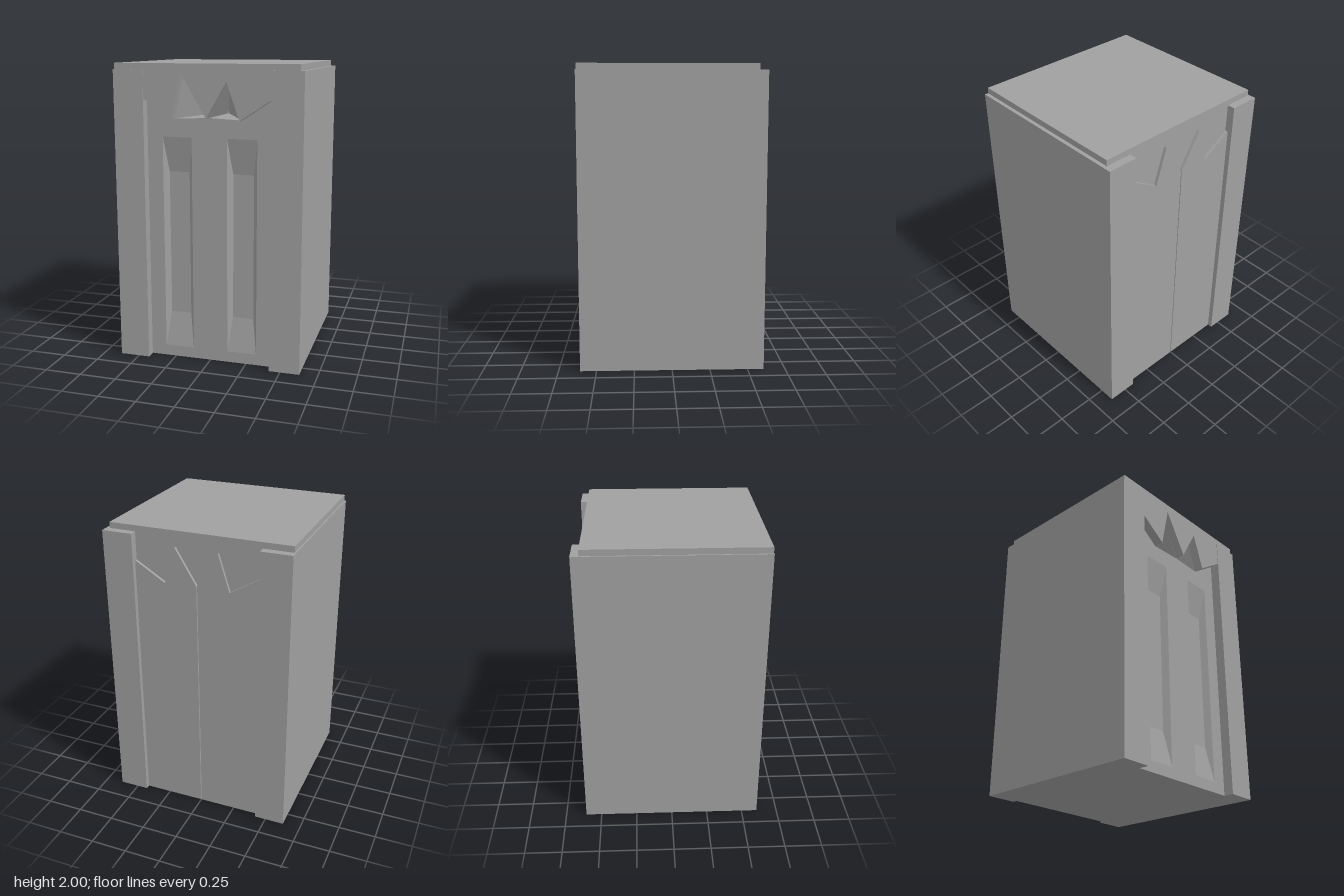
import * as THREE from 'three';

const W = 0.63, D = 0.425, H = 1.96;           // half width, half doorway, body height
const BACK = -0.555, MID = 0.25, DOOR = 0.54;  // z planes

const toShape = (pts) => new THREE.Shape(pts.map(([x, y]) => new THREE.Vector2(x, y)));

// Plate between two z planes, cut from an outline with optional holes
function plate(pts, z0, z1, holes = []) {
  const shape = toShape(pts);
  holes.forEach((h) => shape.holes.push(toShape(h)));
  const g = new THREE.ExtrudeGeometry(shape, { depth: z1 - z0, bevelEnabled: false });
  return g.translate(0, 0, z0);
}

function block(x0, x1, y0, y1, z0, z1) {
  return new THREE.BoxGeometry(x1 - x0, y1 - y0, z1 - z0)
    .translate((x0 + x1) / 2, (y0 + y1) / 2, (z0 + z1) / 2);
}

// Tapered pocket: counter-clockwise outer rim at z0, smaller floor at z1
function recess(outer, inner, z0, z1) {
  const pos = [], n = outer.length;
  const o = outer.map(([x, y]) => [x, y, z0]), f = inner.map(([x, y]) => [x, y, z1]);
  for (let i = 0; i < n; i++) {
    const j = (i + 1) % n;
    pos.push(...o[i], ...o[j], ...f[j], ...o[i], ...f[j], ...f[i]);
    if (i > 0 && i < n - 1) pos.push(...f[0], ...f[i], ...f[i + 1]);
  }
  const g = new THREE.BufferGeometry();
  g.setAttribute('position', new THREE.Float32BufferAttribute(pos, 3));
  g.computeVertexNormals();
  return g;
}

const rect = (x0, x1, y0, y1) => [[x0, y0], [x1, y0], [x1, y1], [x0, y1]];

export function createModel() {
  const group = new THREE.Group();
  const stone = new THREE.MeshStandardMaterial({ color: 0xa0a0a0 });
  stone.name = 'stone grey';
  const add = (name, geometry) => {
    const mesh = new THREE.Mesh(geometry, stone);
    mesh.name = name;
    group.add(mesh);
  };

  // Main block and stepped cap
  add('body', block(-W, W, 0, H, BACK, MID));
  add('cap', block(-0.62, 0.605, H - 0.02, 2, BACK, 0.605));

  // Front door layer, pierced by two spikes and two tall panels
  const spikes = [
    { rim: [[-0.235, 1.645], [0, 1.655], [-0.165, 1.94]], focus: [-0.04, 1.66] },
    { rim: [[0, 1.655], [0.22, 1.645], [0.135, 1.89]], focus: [0.04, 1.66] },
  ];
  const panels = [-0.22, 0.22].map((c) => ({
    rim: rect(c - 0.1, c + 0.1, 0.075, 1.525),
    floor: rect(c - 0.07, c + 0.07, 0.31, 1.29),
  }));
  // the rims stop just short of the shared centre point
  const spikeRims = spikes.map((s) => s.rim.map(([x, y]) =>
    [x === 0 ? Math.sign(s.focus[0]) * 0.002 : x, y]));
  add('frontDoor', plate(rect(-W, W, 0, H), MID, DOOR,
    [...spikeRims, ...panels.map((p) => p.rim)]));
  spikes.forEach(({ focus }, i) => {
    const rim = spikeRims[i];
    const tip = rim.map(([x, y]) => [focus[0] + (x - focus[0]) * 0.1, focus[1] + (y - focus[1]) * 0.1]);
    add('spikeRecess', recess(rim, tip, DOOR, MID + 0.01));
  });
  panels.forEach((p) => add('doorPanel', recess(p.rim, p.floor, DOOR, DOOR - 0.04)));

  // Jagged header above the front door
  add('frontHeader', plate([
    [-D, 1.775], [-0.33, 1.71], [-0.235, 1.645], [-0.165, 1.94], [0, 1.655],
    [0.135, 1.89], [0.22, 1.645], [D, 1.78], [D, H], [-D, H],
  ], DOOR, 0.605));

  // Corner pillars, front and back
  for (const s of [-1, 1]) {
    const [x0, x1] = s > 0 ? [D, W] : [-W, -D];
    add('frontPillar', block(x0, x1, 0, H, DOOR, 0.608));
    add('backPillar', block(x0, x1, 0, H, -0.608, BACK));

    // Back door leaf with jagged top, narrow seam at the centre
    const leaf = [[0.003, 0], [D, 0], [D, 1.775], [0.22, 1.65], [0.145, 1.895], [0.003, 1.66]];
    const pts = leaf.map(([x, y]) => [x * s, y]);
    add('backDoorLeaf', plate(pts, -0.575, BACK));
  }
  return group;
}
